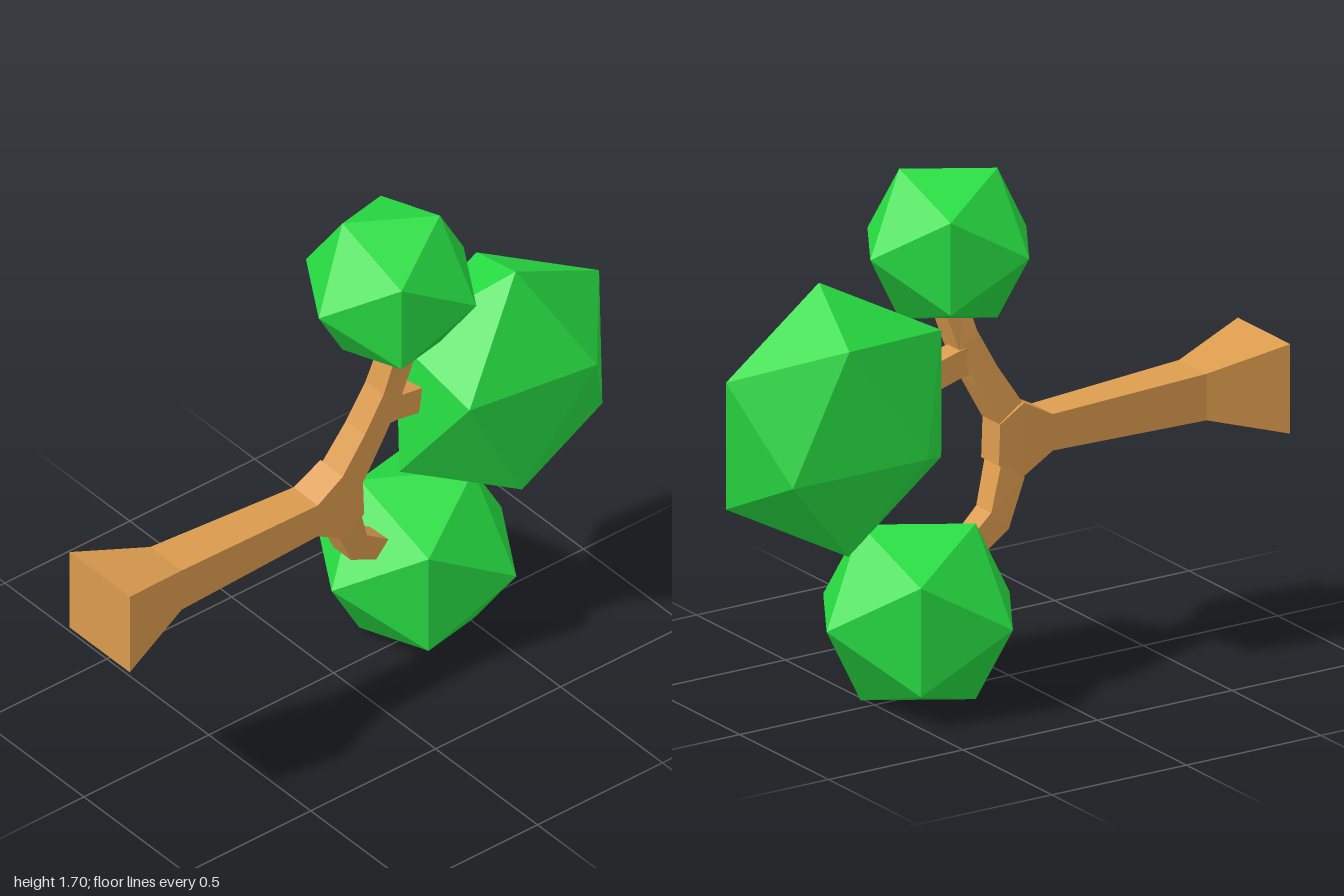
import * as THREE from 'three';
import { ConvexGeometry } from 'three/addons/geometries/ConvexGeometry.js';

const wood = new THREE.MeshStandardMaterial({ name: 'wood', color: 0xdb9b4e });
const leaf = new THREE.MeshStandardMaterial({ name: 'leaf', color: 0x27dc42 });

// Four-sided limb through sections [zA, yA, zB, yB, xMin, xMax]; A and B are opposite edges
function limb(name, sections) {
  const rings = sections.map(([za, ya, zb, yb, x0, x1]) =>
    [[x0, ya, za], [x1, ya, za], [x1, yb, zb], [x0, yb, zb]]);
  const pos = [];
  const quad = (a, b, c, d) => [a, b, c, a, c, d].forEach((p) => pos.push(...p));
  for (let s = 0; s < rings.length - 1; s++) {
    const a = rings[s], b = rings[s + 1];
    for (let i = 0; i < 4; i++) {
      const j = (i + 1) % 4;
      quad(a[i], a[j], b[j], b[i]);
    }
  }
  const first = rings[0], last = rings[rings.length - 1];
  quad(first[0], first[3], first[2], first[1]);
  quad(...last);
  const geo = new THREE.BufferGeometry();
  geo.setAttribute('position', new THREE.Float32BufferAttribute(pos, 3));
  geo.computeVertexNormals();
  const mesh = new THREE.Mesh(geo, wood);
  mesh.name = name;
  return mesh;
}

// Twenty-faced foliage clump: six corners, each mirrored through the centre
function clump(name, centre, corners) {
  const points = corners.flatMap((c) => {
    const v = new THREE.Vector3(...c);
    return [v, v.clone().negate()];
  });
  const mesh = new THREE.Mesh(new ConvexGeometry(points), leaf);
  mesh.position.set(...centre);
  mesh.name = name;
  return mesh;
}

// Corners of a regular clump with its pole along z
function regularCorners(r) {
  const corners = [[0, 0, r]];
  for (let i = 0; i < 5; i++) {
    const a = Math.PI + (i * Math.PI * 2) / 5;
    corners.push([0.894 * r * Math.cos(a), 0.894 * r * Math.sin(a), 0.447 * r]);
  }
  return corners;
}

export function createModel() {
  const tree = new THREE.Group();
  tree.name = 'fallenTree';

  // Trunk with flared foot, ending in the fork
  tree.add(limb('trunk', [
    [1, 0.92, 1, 0.625, -0.07, 0.225],
    [0.735, 0.853, 0.735, 0.7, 0, 0.155],
    [0.175, 0.825, 0.175, 0.705, 0.017, 0.137],
    [0.07, 0.882, 0.07, 0.64, 0.02, 0.13],
    [-0.015, 0.825, -0.02, 0.69, 0.025, 0.125],
  ]));

  // Branches
  tree.add(limb('upperBranch', [
    [0.07, 0.882, -0.015, 0.825, 0.03, 0.13],
    [-0.012, 1.01, -0.09, 0.965, 0.045, 0.138],
    [-0.08, 1.14, -0.145, 1.085, 0.058, 0.147],
    [-0.115, 1.262, -0.2, 1.245, 0.075, 0.157],
  ]));
  tree.add(limb('lowerBranch', [
    [-0.02, 0.69, 0.07, 0.64, 0.015, 0.107],
    [-0.07, 0.555, -0.005, 0.49, -0.008, 0.077],
    [-0.175, 0.475, -0.125, 0.42, -0.022, 0.055],
  ]));
  tree.add(limb('sideBranch', [
    [-0.09, 1.09, -0.07, 1.0, 0.06, 0.13],
    [-0.15, 1.085, -0.145, 0.995, 0.05, 0.125],
    [-0.26, 1.06, -0.25, 0.97, 0.04, 0.115],
  ]));

  // Foliage
  tree.add(clump('upperFoliage', [0.037, 1.455, -0.2], regularCorners(0.29)));
  tree.add(clump('lowerFoliage', [-0.035, 0.294, -0.36], regularCorners(0.34)));
  tree.add(clump('mainFoliage', [0.077, 0.94, -0.6], [
    [0.258, 0.09, -0.18], [0.21, -0.3, 0.08], [0.21, 0.11, 0.29],
    [-0.077, 0.25, 0.35], [0, -0.2, 0.4], [0.075, 0.43, -0.005],
  ]));
  return tree;
}
